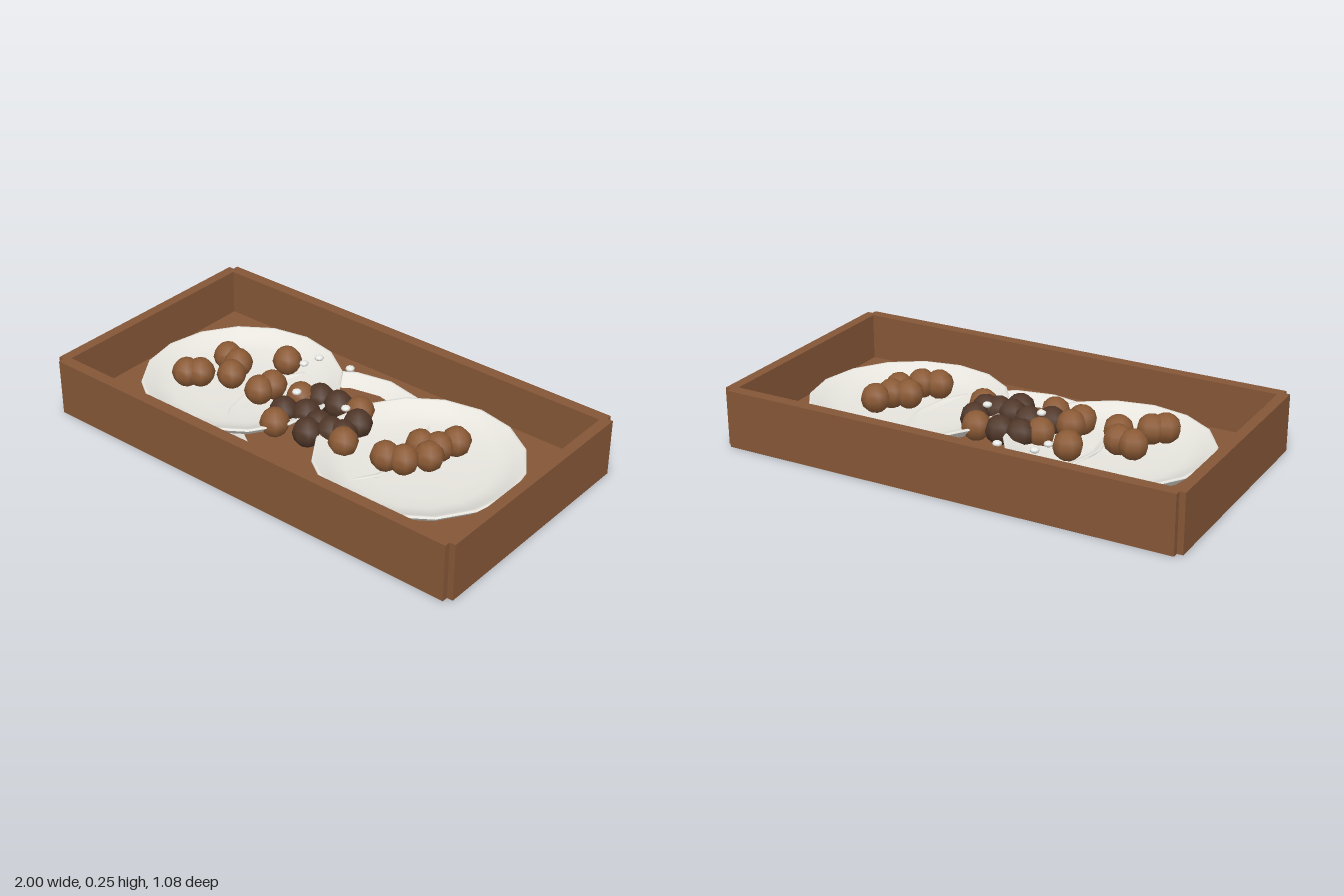
import * as THREE from 'three';

function material(name, color) {
  const m = new THREE.MeshStandardMaterial({ color });
  m.name = name;
  return m;
}

export function createModel() {
  const model = new THREE.Group();
  model.name = 'servingTray';

  const wood = material('wood brown', 0x855636);
  const china = material('plate white', 0xe6e4dd);
  const brown = material('nut brown', 0x8b5a35);
  const dark = material('dark nut brown', 0x503729);
  const pearl = material('bead white', 0xeeeeea);

  function add(parent, name, geometry, mat, x = 0, y = 0, z = 0) {
    const mesh = new THREE.Mesh(geometry, mat);
    mesh.name = name;
    mesh.position.set(x, y, z);
    parent.add(mesh);
    return mesh;
  }

  // Tray: floor and four walls that step in at the corners
  const height = 0.245, floorTop = 0.045;
  const tray = new THREE.Group();
  tray.name = 'tray';
  model.add(tray);
  add(tray, 'trayFloor', new THREE.BoxGeometry(1.95, floorTop, 1.03), wood, 0, floorTop / 2, 0);
  for (const s of [-1, 1]) {
    add(tray, s > 0 ? 'frontWall' : 'backWall',
      new THREE.BoxGeometry(1.95, height, 0.05), wood, 0, height / 2, s * 0.515);
    add(tray, s > 0 ? 'leftWall' : 'rightWall',
      new THREE.BoxGeometry(0.045, height, 1.03), wood, s * 0.9775, height / 2, 0);
  }

  // Plates: a foot-and-wall lathe outside, a shallow dish lathe inside
  const lathe = (pts) => new THREE.LatheGeometry(pts.map(([r, y]) => new THREE.Vector2(r, y)), 16);
  const footGeometry = lathe([[0, 0], [0.31, 0]]);
  const outerGeometry = lathe([[0.31, 0], [0.37, 0.03], [0.42, 0.073]]);
  const innerGeometry = lathe([[0.42, 0.073], [0.417, 0.08], [0.408, 0.079], [0.37, 0.06],
    [0.335, 0.045], [0.295, 0.035], [0.2, 0.026], [0, 0.022]]);

  function addPlate(name, x, y) {
    const plate = new THREE.Group();
    plate.name = name;
    plate.position.set(x, y, 0);
    add(plate, 'plateFoot', footGeometry, china);
    add(plate, 'plateOutside', outerGeometry, china);
    add(plate, 'plateDish', innerGeometry, china);
    model.add(plate);
  }
  addPlate('centrePlate', 0, -0.0008);
  addPlate('leftPlate', 0.46, floorTop);
  addPlate('rightPlate', -0.46, floorTop);

  // Piles of nuts, each given by its x and z
  const nutGeometry = new THREE.SphereGeometry(0.062, 8, 6);
  function addPile(name, mat, y, spots) {
    const pile = new THREE.Group();
    pile.name = name;
    for (const [x, z] of spots) add(pile, 'nut', nutGeometry, mat, x, y, z);
    model.add(pile);
  }
  addPile('rightPile', brown, 0.155, [
    [-0.58, -0.045], [-0.51, -0.03], [-0.47, 0.055], [-0.58, 0.125], [-0.625, 0.16],
    [-0.365, -0.175], [-0.285, 0.01], [-0.3, 0.075],
  ]);
  addPile('leftPile', brown, 0.153, [
    [0.54, -0.13], [0.51, -0.055], [0.445, -0.025], [0.52, 0.02], [0.46, 0.1], [0.39, 0.125],
  ]);
  addPile('centrePile', brown, 0.118, [
    [-0.175, -0.04], [-0.13, 0.175], [0.08, -0.105], [0.17, 0.11],
  ]);
  addPile('darkPile', dark, 0.115, [
    [-0.11, -0.085], [-0.02, -0.09], [0.13, -0.03], [-0.16, 0.085], [-0.075, 0.045],
    [0.015, 0.075], [0.015, 0.145], [0.08, 0.08], [0.135, 0.07],
  ]);

  // Small flattened beads
  const beadGeometry = new THREE.SphereGeometry(0.02, 8, 6).scale(1, 0.6, 1);
  for (const [x, z] of [[-0.275, -0.275], [-0.295, -0.2], [-0.12, -0.29], [0.08, -0.015], [-0.15, 0.015]]) {
    add(model, 'bead', beadGeometry, pearl, x, z < -0.1 ? 0.155 : 0.175, z);
  }

  return model;
}
